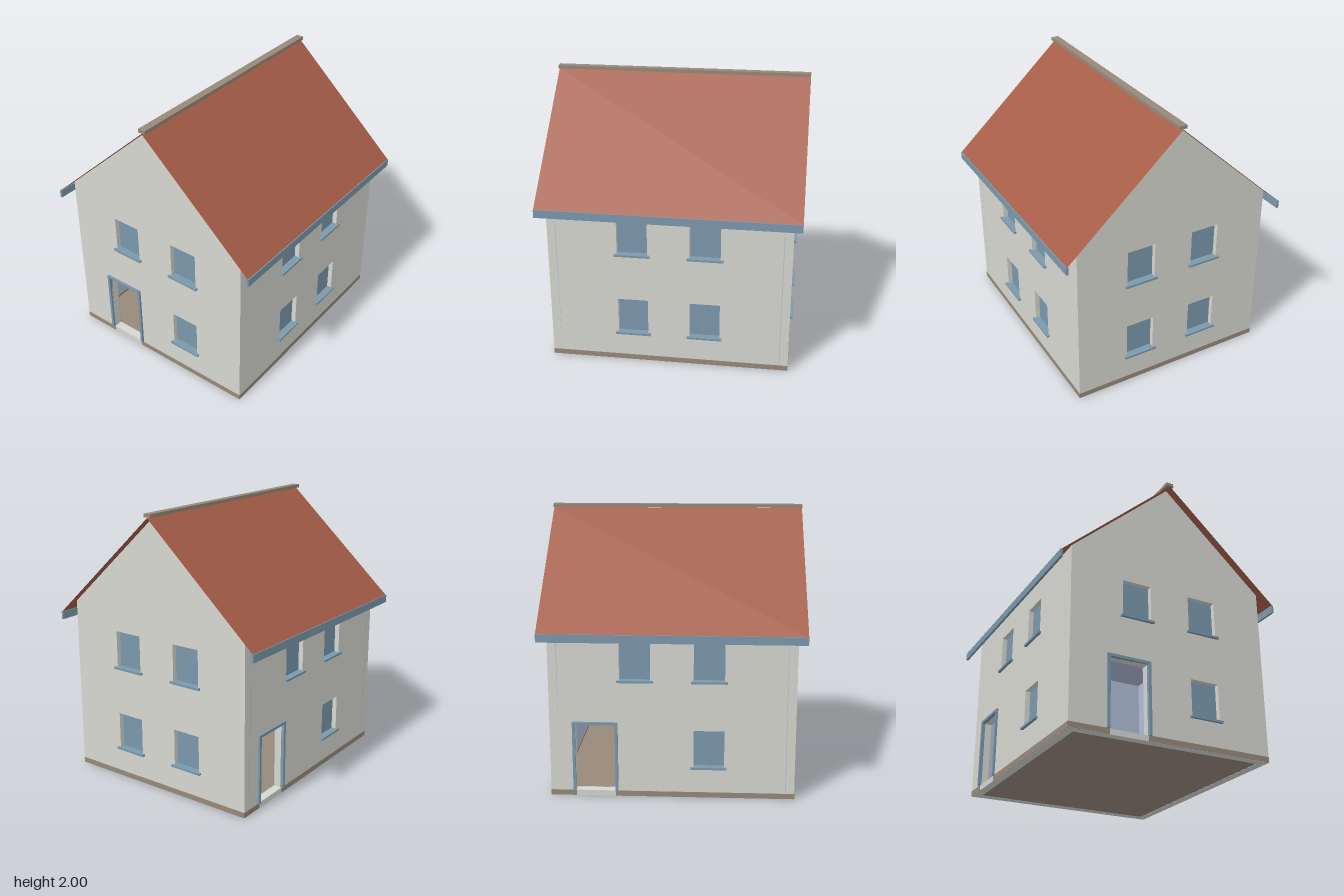
import * as THREE from 'three';

const W = 0.75, D = 0.86, T = 0.06;          // half width, half depth, wall thickness
const EAVE = 1.285, RIDGE = 1.967, PLINTH = 0.04;
const ROOF_X = 0.85, ROOF_Z = 0.917, ROOF_Y = 1.197;

function material(name, color, side = THREE.FrontSide) {
  const m = new THREE.MeshStandardMaterial({ color, side });
  m.name = name;
  return m;
}

export function createModel() {
  const render = material('pale render', 0xd6d7d0);
  const stone = material('brown stone', 0x97897a);
  const blue = material('blue trim', 0x7b98ac);
  const plaster = material('lavender plaster', 0xaebdd7);
  const tiles = material('red tiles', 0xa55d47, THREE.DoubleSide);

  const house = new THREE.Group();
  house.name = 'house';

  function add(parent, name, geometry, mat) {
    const mesh = new THREE.Mesh(geometry, mat);
    mesh.name = name;
    parent.add(mesh);
    return mesh;
  }
  // Box given by its lower and upper limits
  function box(parent, name, mat, x0, x1, y0, y1, z0, z1) {
    const mesh = add(parent, name, new THREE.BoxGeometry(x1 - x0, y1 - y0, z1 - z0), mat);
    mesh.position.set((x0 + x1) / 2, (y0 + y1) / 2, (z0 + z1) / 2);
  }
  function rectHole(x0, x1, y0, y1) {
    return new THREE.Path([[x0, y0], [x0, y1], [x1, y1], [x1, y0]].map(p => new THREE.Vector2(...p)));
  }

  // One wall with its openings, outer face at local z = 0
  function wall(name, half, peak, plinthHalf, doorX) {
    const g = new THREE.Group();
    g.name = name;
    house.add(g);
    const hasDoor = doorX !== undefined;
    const outline = [[-half, 0], [half, 0], [half, EAVE]];
    if (peak) outline.push([0, peak]);
    outline.push([-half, EAVE]);
    const shape = new THREE.Shape(outline.map(p => new THREE.Vector2(...p)));

    // Recessed windows with sills
    for (const y of [0.225, 0.85]) for (const s of [-1, 1]) {
      if (hasDoor && y < 0.5 && s < 0) continue;
      const c = s * 0.2575, top = y + 0.27;
      shape.holes.push(rectHole(c - 0.108, c + 0.108, y, top));
      box(g, 'windowPane', blue, c - 0.108, c + 0.108, y, top, -T - 0.007, -0.035);
      box(g, 'windowSill', blue, c - 0.126, c + 0.126, y - 0.01, y + 0.005, -0.034, 0.02);
    }

    // Open doorway with a raised frame
    if (hasDoor) {
      const h = 0.16, bar = 0.02, top = 0.55;
      shape.holes.push(rectHole(doorX - h + bar, doorX + h - bar, PLINTH, top - bar));
      for (const s of [-1, 1]) {
        const c = doorX + s * (h - bar / 2);
        box(g, 'doorJamb', blue, c - bar / 2, c + bar / 2, PLINTH, top - bar, -0.01, 0.015);
      }
      box(g, 'doorHead', blue, doorX - h, doorX + h, top - bar, top, -0.01, 0.015);
    }

    // Wall body and inner plaster lining
    const body = add(g, 'wallBody', new THREE.ExtrudeGeometry(shape, { depth: T, bevelEnabled: false }), render);
    body.position.z = -T;
    const lining = add(g, 'wallLining', new THREE.ExtrudeGeometry(shape, { depth: 0.004, bevelEnabled: false }), plaster);
    lining.position.z = -T - 0.004;
    lining.position.y = 0.001;

    // Plinth outside and skirting inside, interrupted at the door
    const spans = end => hasDoor ? [[-end, doorX - 0.14], [doorX + 0.14, end]] : [[-end, end]];
    for (const [a, b] of spans(plinthHalf)) box(g, 'plinth', stone, a, b, 0.001, PLINTH, -0.001, 0.002);
    const inner = plinthHalf - T;
    for (const [a, b] of spans(inner)) box(g, 'skirting', stone, a, b, PLINTH, 0.06, -T - 0.008, -T - 0.003);
    return g;
  }

  wall('frontWall', W, RIDGE, W, -0.325).position.z = D;
  const back = wall('backWall', W, RIDGE, W);
  back.rotation.y = Math.PI;
  back.position.z = -D;
  const left = wall('leftWall', D - T, 0, D);
  left.rotation.y = Math.PI / 2;
  left.position.x = W;
  const right = wall('rightWall', D - T, 0, D, -0.54);
  right.rotation.y = -Math.PI / 2;
  right.position.x = -W;

  // Ground slab and attic floor
  box(house, 'groundFloor', stone, -W + T, W - T, 0.002, PLINTH, -D + T, D - T);
  box(house, 'atticFloor', plaster, -W + T, W - T, 1.17, 1.2, -D + T, D - T);

  // Thin roof slopes, fascias and ridge cap
  const ridgeY = 1.972;
  const slopeLength = Math.hypot(ROOF_X, ridgeY - ROOF_Y);
  for (const s of [-1, 1]) {
    const slope = add(house, 'roofSlope', new THREE.PlaneGeometry(slopeLength, 2 * ROOF_Z), tiles);
    slope.geometry.rotateX(-Math.PI / 2);
    slope.rotation.z = -s * Math.atan2(ridgeY - ROOF_Y, ROOF_X);
    slope.position.set(s * ROOF_X / 2, (ridgeY + ROOF_Y) / 2, 0);
    const x = s * 0.847;
    box(house, 'fascia', blue, x - 0.008, x + 0.008, 1.142, 1.199, -ROOF_Z, ROOF_Z);
  }
  box(house, 'ridgeCap', stone, -0.028, 0.028, 1.975, 2, -ROOF_Z, ROOF_Z);

  return house;
}
